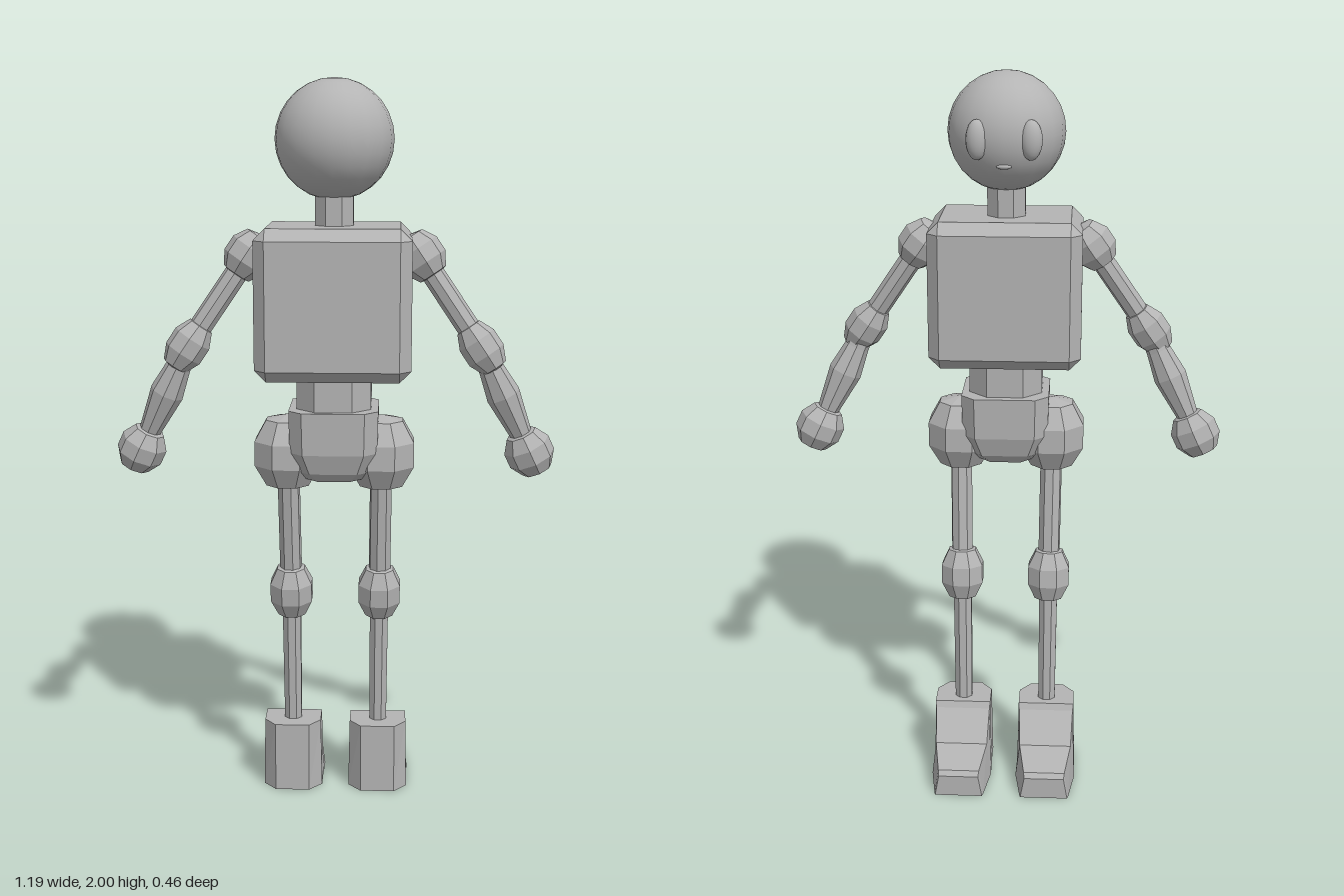
import * as THREE from 'three';
import { ConvexGeometry } from 'three/addons/geometries/ConvexGeometry.js';

const grey = new THREE.MeshStandardMaterial({ color: 0xb4b4b4 });
const V = (x, y, z) => new THREE.Vector3(x, y, z);
const UP = V(0, 1, 0);

function flat(geometry) {
  const g = geometry.index ? geometry.toNonIndexed() : geometry;
  g.computeVertexNormals();
  return g;
}

function add(parent, name, geometry, position = V(0, 0, 0)) {
  const mesh = new THREE.Mesh(geometry, grey);
  mesh.name = name;
  mesh.position.copy(position);
  parent.add(mesh);
  return mesh;
}

// Faceted turned shape, flat side facing forward; profile is [radius, height] pairs
function turned(profile, sides = 8) {
  const points = profile.map(([r, y]) => new THREE.Vector2(r, y));
  return flat(new THREE.LatheGeometry(points, sides, Math.PI / sides));
}

// Barrel-like ball joint, optionally lined up with a limb direction
function joint(parent, name, position, radius, halfLength = radius, direction = UP) {
  const r = radius * 1.03, h = halfLength;
  const mesh = add(parent, name, turned([
    [0, -h], [r * 0.65, -h * 0.87], [r, -h * 0.32], [r, h * 0.32], [r * 0.65, h * 0.87], [0, h],
  ]), position);
  mesh.quaternion.setFromUnitVectors(UP, direction.clone().normalize());
}

// Limb between two points; profile is [radius, fraction of length] pairs
function limb(parent, name, from, to, profile) {
  const axis = to.clone().sub(from);
  const length = axis.length();
  const mesh = add(parent, name, turned(profile.map(([r, t]) => [r, t * length])), from);
  mesh.quaternion.setFromUnitVectors(UP, axis.normalize());
}

// Box with every edge cut off
function chamferedBox(x, y, z, c) {
  const points = [];
  for (const sx of [-1, 1]) for (const sy of [-1, 1]) for (const sz of [-1, 1]) {
    points.push(V(sx * x, sy * (y - c), sz * (z - c)));
    points.push(V(sx * (x - c), sy * y, sz * (z - c)));
    points.push(V(sx * (x - c), sy * (y - c), sz * z));
  }
  return new ConvexGeometry(points);
}

// Convex stack of cut-corner rectangles; levels are [y, half width, half depth]
function stack(levels, cut) {
  const points = [];
  for (const [y, x, z] of levels) for (const sx of [-1, 1]) for (const sz of [-1, 1]) {
    points.push(V(sx * x, y, sz * (z - cut)), V(sx * (x - cut), y, sz * z));
  }
  return new ConvexGeometry(points);
}

// Boot: a segmented box reshaped station by station from heel to toe
function footGeometry() {
  const stations = [ // z, half width at sole, half width at top, top height
    [0.07, 0.048, 0.048, 0.2],
    [0.03, 0.084, 0.08, 0.2],
    [-0.045, 0.084, 0.08, 0.2],
    [-0.053, 0.085, 0.078, 0.182],
    [-0.115, 0.086, 0.074, 0.1],
    [-0.222, 0.07, 0.058, 0.076],
    [-0.232, 0.067, 0.056, 0.062],
  ];
  const last = stations.length - 1;
  const g = new THREE.BoxGeometry(2, 1, 1, 1, 1, last);
  const p = g.attributes.position;
  for (let i = 0; i < p.count; i++) {
    const [z, sole, top, height] = stations[Math.round((0.5 - p.getZ(i)) * last)];
    const isTop = p.getY(i) > 0;
    p.setXYZ(i, p.getX(i) * (isTop ? top : sole), isTop ? height : 0, z);
  }
  return flat(g);
}

function ellipsoid(x, y, z) {
  return new THREE.SphereGeometry(1, 16, 12).scale(x, y, z);
}

export function createModel() {
  const model = new THREE.Group();
  model.name = 'figure';

  // Head with small raised eyes and mouth on the toe side
  const head = new THREE.Group();
  head.name = 'head';
  head.position.set(0, 1.843, 0.072);
  model.add(head);
  add(head, 'skull', new THREE.SphereGeometry(0.157, 20, 14));
  for (const s of [-1, 1]) add(head, 'eye', ellipsoid(0.029, 0.052, 0.025), V(s * 0.07, -0.005, -0.134));
  add(head, 'mouth', ellipsoid(0.02, 0.007, 0.008), V(0, -0.073, -0.136));

  // Body core
  add(model, 'neck', turned([[0, 0], [0.055, 0], [0.055, 0.12], [0, 0.12]]), V(0, 1.6, 0.072));
  add(model, 'torso', chamferedBox(0.206, 0.2, 0.153, 0.031), V(0, 1.421, 0.079));
  add(model, 'waist', stack([[1.1, 0.1, 0.1], [1.24, 0.1, 0.1]], 0.05), V(0, 0, 0.073));
  add(model, 'pelvis', stack([
    [1.135, 0.12, 0.12], [1.02, 0.118, 0.117], [0.965, 0.1, 0.1], [0.94, 0.078, 0.08],
  ], 0.036), V(0, 0, 0.07));

  // Mirrored arms and legs
  const foot = footGeometry();
  for (const s of [-1, 1]) {
    const side = s > 0 ? 'left' : 'right';
    const shoulder = V(s * 0.23, 1.54, 0.07), elbow = V(s * 0.393, 1.3, 0.098), hand = V(s * 0.53, 1.01, 0.067);
    const hip = V(s * 0.128, 1.005, 0.067), knee = V(s * 0.124, 0.59, 0.017), ankle = V(s * 0.122, 0.18, 0);
    const upperArmAxis = elbow.clone().sub(shoulder);

    const arm = new THREE.Group();
    arm.name = side + 'Arm';
    model.add(arm);
    joint(arm, 'shoulder', shoulder, 0.06, 0.066, upperArmAxis);
    limb(arm, 'upperArm', shoulder, elbow, [[0.031, 0], [0.031, 1]]);
    joint(arm, 'elbow', elbow, 0.052, 0.074, upperArmAxis);
    limb(arm, 'forearm', elbow, hand, [[0.03, 0], [0.034, 0.2], [0.046, 0.45], [0.03, 0.82], [0.028, 1]]);
    joint(arm, 'hand', hand, 0.063, 0.065, hand.clone().sub(elbow));

    const leg = new THREE.Group();
    leg.name = side + 'Leg';
    model.add(leg);
    joint(leg, 'hip', hip, 0.093, 0.105);
    limb(leg, 'thigh', hip, knee, [[0.031, 0], [0.031, 1]]);
    joint(leg, 'knee', knee, 0.061, 0.081, hip.clone().sub(knee));
    limb(leg, 'shin', ankle, knee, [[0.026, 0], [0.028, 1]]);
    add(leg, 'foot', foot, V(s * 0.122, 0, 0));
  }
  return model;
}
